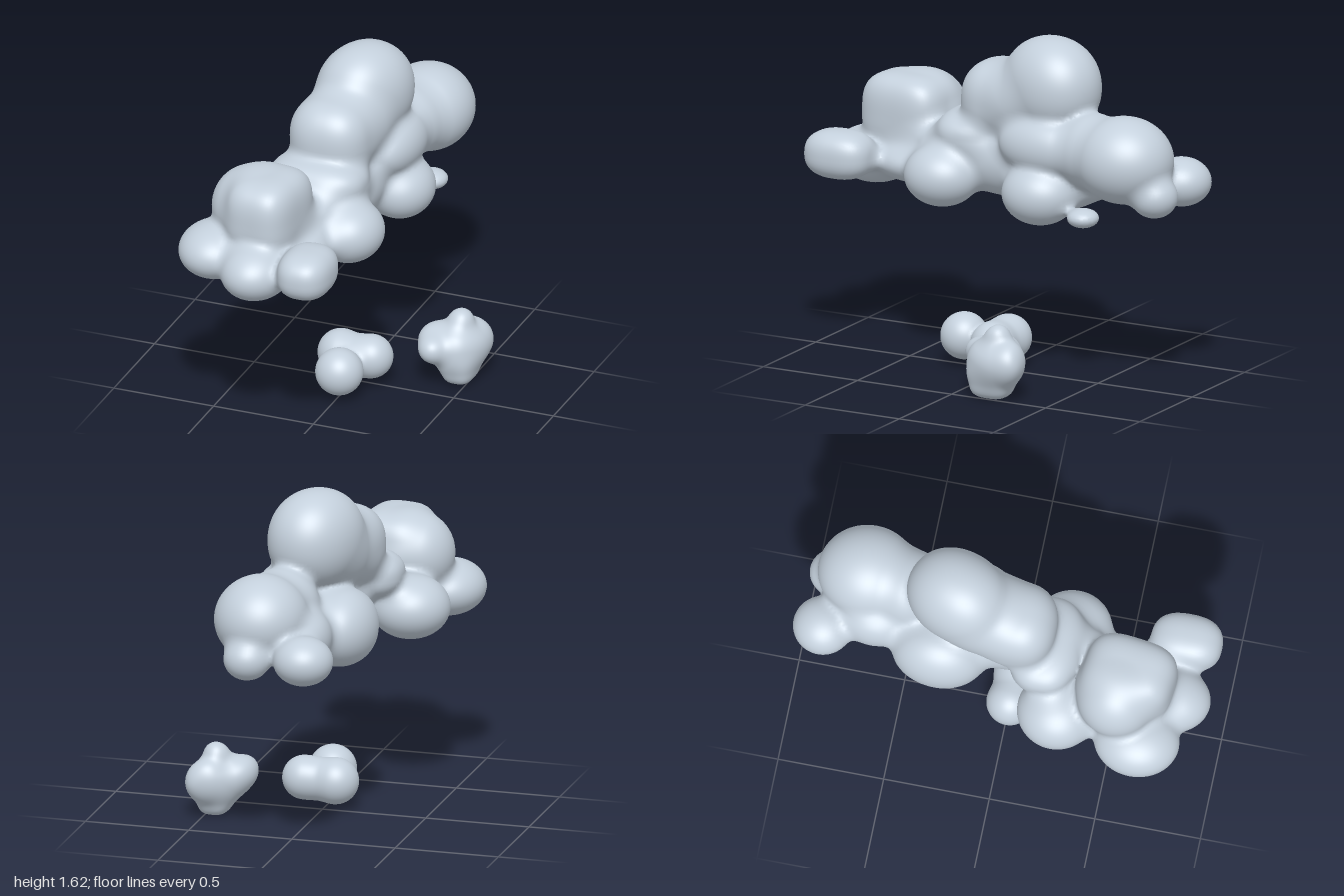
import * as THREE from 'three';

const cloudGrey = new THREE.MeshStandardMaterial({ color: 0xc4d0dc });
cloudGrey.name = 'cloudGrey';

// One lump: centre, radii, optional squareness (2 = ellipsoid, more = boxier) and yaw
const lump = (x, y, z, rx, ry = rx, rz = rx, power = 2, yaw = 0) =>
  ({ x, y, z, rx, ry, rz, c: Math.cos(yaw), s: Math.sin(yaw), power, scale: Math.min(rx, ry, rz) });

function lumpDistance(l, x, y, z) {
  const dx = x - l.x, dz = z - l.z;
  const a = Math.abs((dx * l.c - dz * l.s) / l.rx);
  const b = Math.abs((y - l.y) / l.ry);
  const c = Math.abs((dx * l.s + dz * l.c) / l.rz);
  const k = l.power === 2 ? Math.hypot(a, b, c)
    : Math.pow(a ** l.power + b ** l.power + c ** l.power, 1 / l.power);
  return (k - 1) * l.scale;
}

// Melt lumps together into one smooth skin over a grid of cells
function meltedGeometry(lumps, blend, cell) {
  const field = (x, y, z) => {
    let d = 10;
    for (const l of lumps) {
      const e = lumpDistance(l, x, y, z);
      const h = Math.max(blend - Math.abs(d - e), 0) / blend;
      d = Math.min(d, e) - h * h * blend / 4;
    }
    return d;
  };
  const box = new THREE.Box3();
  for (const l of lumps) {
    const r = Math.max(l.rx, l.rz);
    box.expandByPoint(new THREE.Vector3(l.x - r, l.y - l.ry, l.z - r));
    box.expandByPoint(new THREE.Vector3(l.x + r, l.y + l.ry, l.z + r));
  }
  box.expandByScalar(0.05 + cell * 2);
  const o = box.min.toArray();
  const n = box.getSize(new THREE.Vector3()).toArray().map(v => Math.ceil(v / cell) + 1);
  const step = [1, n[0], n[0] * n[1]];
  const values = new Float32Array(n[0] * n[1] * n[2]);
  const each = (fn, from, trim) => {
    for (let k = from; k < n[2] - trim; k++)
      for (let j = from; j < n[1] - trim; j++)
        for (let i = from; i < n[0] - trim; i++) fn([i, j, k], i + j * step[1] + k * step[2]);
  };
  each((p, id) => {
    values[id] = field(o[0] + p[0] * cell, o[1] + p[1] * cell, o[2] + p[2] * cell);
  }, 0, 0);

  // One vertex in every cell the skin passes through, pulled onto the skin
  const positions = [], normals = [], indices = [];
  const vertexOf = new Int32Array(values.length).fill(-1);
  each((p, id) => {
    const sum = [0, 0, 0];
    let count = 0;
    for (let corner = 0; corner < 8; corner++) {
      const bits = [corner & 1, (corner >> 1) & 1, corner >> 2];
      const from = id + bits[0] + bits[1] * step[1] + bits[2] * step[2];
      for (let a = 0; a < 3; a++) {
        if (bits[a]) continue;
        const v0 = values[from], v1 = values[from + step[a]];
        if ((v0 < 0) === (v1 < 0)) continue;
        for (let b = 0; b < 3; b++) sum[b] += p[b] + bits[b] + (a === b ? v0 / (v0 - v1) : 0);
        count++;
      }
    }
    if (!count) return;
    const q = sum.map((v, a) => o[a] + v / count * cell);
    const e = cell / 3;
    const slope = () => [0, 1, 2].map(a => {
      const hi = [...q], lo = [...q];
      hi[a] += e;
      lo[a] -= e;
      return (field(...hi) - field(...lo)) / (2 * e);
    });
    const g = slope(), d = field(...q);
    const len2 = Math.max(g[0] ** 2 + g[1] ** 2 + g[2] ** 2, 0.05);
    const move = THREE.MathUtils.clamp(d / len2, -cell / 3, cell / 3);
    for (let a = 0; a < 3; a++) q[a] -= g[a] * move;
    vertexOf[id] = positions.length / 3;
    positions.push(...q);
    normals.push(...new THREE.Vector3(...slope()).normalize().toArray());
  }, 0, 1);

  // One quad around every grid edge that crosses the skin
  each((p, id) => {
    for (let a = 0; a < 3; a++) {
      const inside = values[id] < 0;
      if (inside === (values[id + step[a]] < 0)) continue;
      const b = step[(a + 1) % 3], c = step[(a + 2) % 3];
      const quad = [id, id - b, id - b - c, id - c].map(v => vertexOf[v]);
      if (!inside) quad.reverse();
      indices.push(quad[0], quad[1], quad[2], quad[0], quad[2], quad[3]);
    }
  }, 1, 1);

  const geometry = new THREE.BufferGeometry();
  geometry.setAttribute('position', new THREE.Float32BufferAttribute(positions, 3));
  geometry.setAttribute('normal', new THREE.Float32BufferAttribute(normals, 3));
  geometry.setIndex(indices);
  return geometry;
}

export function createModel() {
  const model = new THREE.Group();
  model.name = 'cloudGroup';
  const add = (name, lumps, blend, cell) => {
    const mesh = new THREE.Mesh(meltedGeometry(lumps, blend, cell), cloudGrey);
    mesh.name = name;
    model.add(mesh);
  };

  add('largeCloud', [
    // core and underside
    lump(-0.04, 1.02, -0.1, 0.17, 0.18, 0.6),
    lump(-0.14, 0.93, 0.5, 0.22, 0.11, 0.26),
    lump(-0.04, 0.93, -0.27, 0.24, 0.12, 0.19),
    // leaning tower
    lump(-0.04, 1.4, -0.235, 0.207, 0.232, 0.25, 2.1, -0.35),
    lump(-0.06, 1.31, -0.1, 0.2, 0.2, 0.22),
    lump(-0.085, 1.29, 0.05, 0.195, 0.19, 0.185, 2.4),
    // shelf below the tower
    lump(-0.1, 1.12, 0.19, 0.235, 0.115, 0.165, 2.5),
    lump(0.1, 1.14, -0.28, 0.13, 0.14, 0.24),
    // rear lumps
    lump(0.09, 1.13, -0.69, 0.22, 0.205, 0.235),
    lump(0.05, 1.14, -0.5, 0.18, 0.175, 0.16),
    lump(-0.16, 0.99, -0.855, 0.14, 0.115),
    lump(0.11, 0.98, -0.86, 0.11, 0.1),
    lump(-0.12, 1.03, -0.62, 0.1, 0.12, 0.16),
    // front block, square on its left and rounded on its right
    lump(-0.18, 1.13, 0.6, 0.165, 0.193, 0.215, 3.2, -0.12),
    lump(-0.285, 1.12, 0.56, 0.185, 0.195),
    // front row
    lump(-0.41, 0.93, 0.68, 0.175, 0.13, 0.2),
    lump(-0.17, 0.91, 0.78, 0.165, 0.135, 0.2),
    lump(0.1, 0.965, 0.815, 0.128, 0.115, 0.168, 2.5),
    // side lumps
    lump(0.09, 0.93, 0.28, 0.165, 0.145, 0.18),
    lump(-0.34, 0.94, 0.29, 0.187, 0.15),
    lump(0.13, 0.92, -0.26, 0.16, 0.145, 0.18),
    lump(-0.19, 1.0, -0.3, 0.16, 0.18, 0.22),
    // small drip underneath
    lump(0.18, 0.85, -0.52, 0.075, 0.045),
  ], 0.045, 0.017);

  add('smallPuffs', [
    lump(0.01, 0.15, 0.205, 0.112),
    lump(-0.06, 0.15, 0.01, 0.11),
    lump(0.02, 0.15, 0.02, 0.1),
    lump(0.09, 0.155, 0.01, 0.104),
  ], 0.03, 0.011);

  add('knobblyPuff', [
    lump(0.43, 0.18, -0.19, 0.125, 0.12, 0.13),
    lump(0.45, 0.31, -0.22, 0.055, 0.05),
    lump(0.325, 0.215, -0.16, 0.057, 0.065, 0.09),
    lump(0.525, 0.18, -0.27, 0.05, 0.07, 0.08),
    lump(0.46, 0.08, -0.19, 0.07, 0.07, 0.1, 3),
    lump(0.365, 0.2, -0.06, 0.05),
    lump(0.47, 0.2, -0.31, 0.06, 0.07, 0.045),
  ], 0.06, 0.011);

  return model;
}
